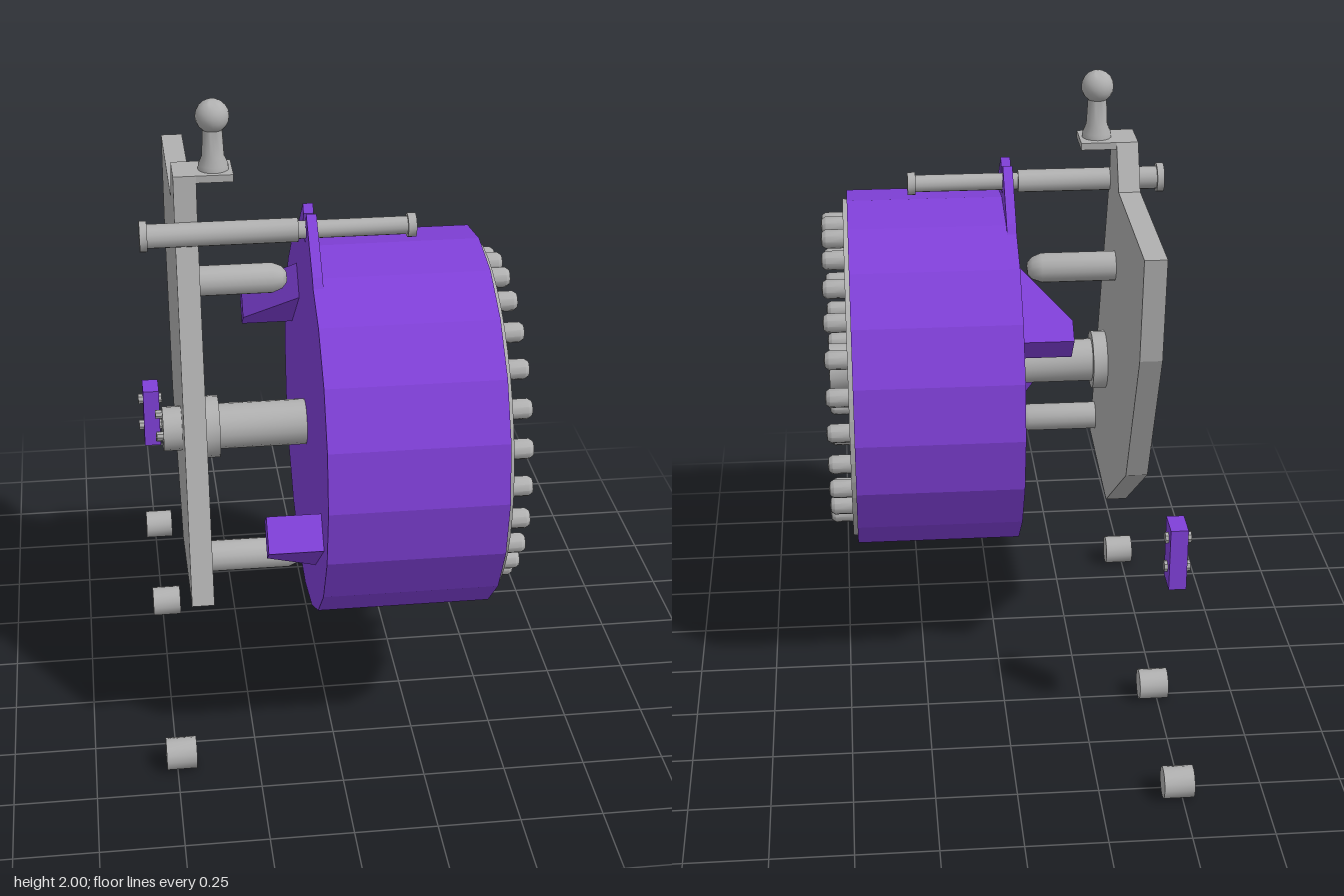
import * as THREE from 'three';
import { toCreasedNormals } from 'three/addons/utils/BufferGeometryUtils.js';

export function createModel() {
  const model = new THREE.Group();
  model.name = 'drumMechanism';
  const purple = new THREE.MeshStandardMaterial({ color: 0x8040d8 });
  purple.name = 'purple';
  const grey = new THREE.MeshStandardMaterial({ color: 0xb0b0b0 });
  grey.name = 'grey';

  // drum axis position
  const CY = 0.99, CZ = 0.257;

  function add(name, geo, mat) {
    const m = new THREE.Mesh(geo, mat);
    m.name = name;
    model.add(m);
    return m;
  }
  // turned part: profile of [radius, position along its axis]
  function turned(profile, sides, crease = 0.7) {
    const g = new THREE.LatheGeometry(profile.map(([r, a]) => new THREE.Vector2(r, a)), sides);
    return toCreasedNormals(g, crease);
  }
  // turned part lying along x at height y and depth z
  function turnedX(name, profile, y, z, mat, sides = 14, crease = 0.7) {
    const g = turned(profile, sides, crease).rotateZ(-Math.PI / 2);
    const m = add(name, g, mat);
    m.position.set(0, y, z);
    return m;
  }
  const rod = (x0, x1, r) => [[0, x0], [r, x0], [r, x1], [0, x1]];
  // flat plate from [z, y] corners, between x0 and x1
  function plate(name, corners, x0, x1, mat, holes = []) {
    const s = new THREE.Shape(corners.map(([z, y]) => new THREE.Vector2(-z, y)));
    for (const [z, y, r] of holes) {
      const p = new THREE.Path();
      p.absarc(-z, y, r, 0, Math.PI * 2, true);
      s.holes.push(p);
    }
    const g = new THREE.ExtrudeGeometry(s, { depth: x1 - x0, bevelEnabled: false, curveSegments: 12 });
    g.rotateY(Math.PI / 2).translate(x0, 0, 0);
    return add(name, g, mat);
  }

  // drum
  turnedX('drum', rod(-0.06, 0.46, 0.578), CY, CZ, purple, 20, 0.1);

  // front disc with three openings onto the drum
  const rim = [];
  for (let i = 0; i < 48; i++) {
    const a = (i / 48) * Math.PI * 2;
    rim.push([CZ + 0.55 * Math.cos(a), CY + 0.55 * Math.sin(a)]);
  }
  const holes = [[0.43, 1.233, 0.073], [-0.04, 1.016, 0.073], [0.385, 0.72, 0.073]];
  plate('frontDisc', rim, 0.459, 0.474, grey, holes);

  // ring of rounded pins
  const pinProfile = [[0, 0.465], [0.03, 0.465], [0.03, 0.53], [0.022, 0.542], [0, 0.546]];
  for (let i = 0; i < 26; i++) {
    const a = (i / 26) * Math.PI * 2;
    turnedX('pin', pinProfile, CY + 0.477 * Math.sin(a), CZ + 0.477 * Math.cos(a), grey, 10);
  }

  // hollow hub end in the middle of the disc
  turnedX('hubTube', [[0.08, 0.46], [0.08, 0.535], [0.066, 0.535], [0.066, 0.48], [0, 0.48]], CY, CZ, grey, 16);

  // notched lug at the top of the drum back
  plate('lug', [
    [0.53, 1.44], [0.45, 1.55], [0.30, 1.685], [0.282, 1.66], [0.296, 1.62], [0.28, 1.588],
    [0.234, 1.588], [0.218, 1.62], [0.232, 1.66], [0.214, 1.685], [0.064, 1.55], [-0.016, 1.44],
  ], -0.06, -0.03, purple);

  // two ramps on the drum back, opposite each other
  const ramp = new THREE.Shape([[0, -0.01], [0.27, -0.01], [0.27, 0], [0.07, 0.16], [0, 0.16]]
    .map(([s, h]) => new THREE.Vector2(s, h)));
  for (const [y, z, d] of [[0.857, 0.702, -1], [1.208, -0.132, 1]]) {
    const g = new THREE.ExtrudeGeometry(ramp, { depth: 0.11, bevelEnabled: false });
    g.translate(0, 0, -0.055);
    const along = new THREE.Vector3(0, 0.64 * d, 0.768 * d);
    const out = new THREE.Vector3(-1, 0, 0);
    g.applyMatrix4(new THREE.Matrix4().makeBasis(along, out, along.clone().cross(out)));
    add('ramp', g, purple).position.set(-0.06, y, z);
  }

  // mounting plate with folded top tab
  plate('mountingPlate', [
    [0.232, 1.79], [0.25, 1.62], [0.59, 0.56], [0.13, 0.53], [-0.3, 0.85],
    [-0.5, 1.33], [-0.525, 1.655], [0.03, 1.655], [0.105, 1.79],
  ], -0.438, -0.371, grey);
  const tab = add('topTab', new THREE.BoxGeometry(0.175, 0.022, 0.127), grey);
  tab.position.set(-0.35, 1.779, 0.1685);

  // ball stud on the tab
  const ball = [[0, 1.785], [0.046, 1.785], [0.044, 1.805], [0.033, 1.83], [0.029, 1.91]];
  for (let i = 0; i <= 8; i++) {
    const a = -0.9 + (i / 8) * (Math.PI / 2 + 0.9);
    ball.push([Math.max(0, 0.05 * Math.cos(a)), 1.95 + 0.05 * Math.sin(a)]);
  }
  add('ballStud', turned(ball, 20), grey).position.set(-0.317, 0, 0.172);

  // long stepped bolt through the lug
  turnedX('longBolt', [
    [0, -0.542], [0.046, -0.542], [0.046, -0.52], [0.036, -0.52], [0.036, -0.08],
    [0.027, -0.08], [0.027, 0.243], [0.036, 0.243], [0.036, 0.268], [0, 0.268],
  ], 1.62, 0.256, grey);

  // main shaft with collar, and its end screws
  turnedX('mainShaft', [
    [0, -0.495], [0.068, -0.495], [0.068, -0.375], [0.095, -0.375], [0.095, -0.325],
    [0.07, -0.325], [0.07, -0.05], [0, -0.05],
  ], CY, CZ, grey, 18);
  for (let i = 0; i < 3; i++) {
    const a = (i / 3) * Math.PI * 2;
    turnedX('endScrew', rod(-0.515, -0.49, 0.014),
      CY + 0.045 * Math.sin(a), CZ + 0.045 * Math.cos(a), grey, 8);
  }

  // two rounded stop rods reaching from the plate to the ramps
  for (const [y, z] of [[0.67, 0.485], [1.395, 0.078]]) {
    turnedX('stopRod', [[0, -0.38], [0.047, -0.38], [0.047, -0.14], [0.035, -0.11], [0.018, -0.096], [0, -0.094]], y, z, grey);
  }

  // loose clip with two screws
  const clip = add('clip', new THREE.BoxGeometry(0.054, 0.205, 0.094), purple);
  clip.position.set(-0.507, 0.672, -0.477);
  for (const y of [0.627, 0.727]) turnedX('clipScrew', rod(-0.55, -0.47, 0.018), y, -0.477, grey, 8);

  // three loose pegs on the ground
  for (const z of [0.617, -0.257, -0.787]) turnedX('peg', rod(-0.533, -0.44, 0.049), 0.049, z, grey, 14);

  return model;
}
